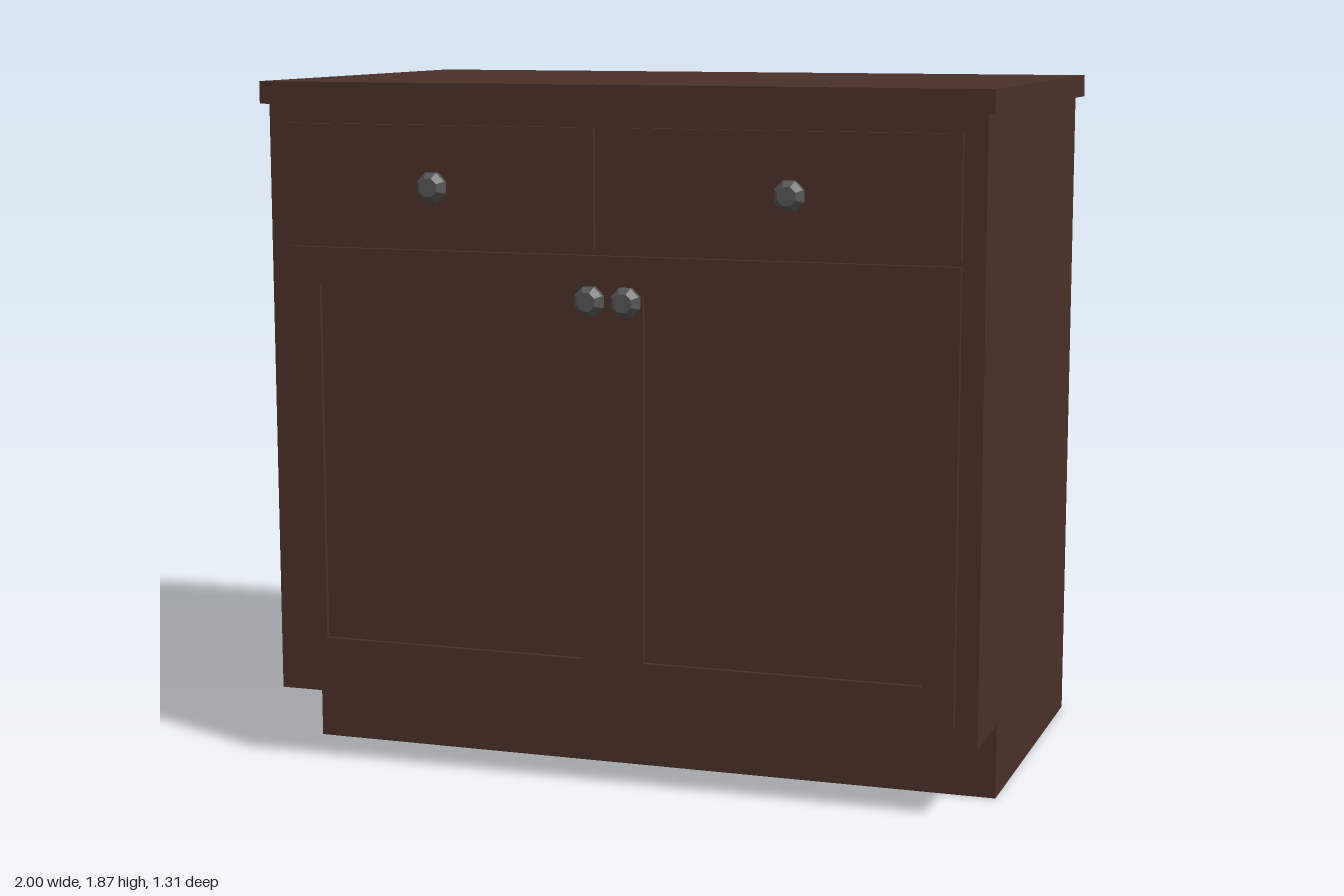
import * as THREE from 'three';

const wood = new THREE.MeshStandardMaterial({ color: 0x4b3028 });
const metal = new THREE.MeshStandardMaterial({ color: 0x555555, flatShading: true });

const FACE = 0.578; // front plane of the carcass
const FRONT = 0.593; // front plane of doors and drawers

function add(group, name, geometry, material = wood) {
  const mesh = new THREE.Mesh(geometry, material);
  mesh.name = name;
  group.add(mesh);
  return mesh;
}

// Box from its minimum and maximum corners
function box(x0, x1, y0, y1, z0, z1) {
  return new THREE.BoxGeometry(x1 - x0, y1 - y0, z1 - z0)
    .translate((x0 + x1) / 2, (y0 + y1) / 2, (z0 + z1) / 2);
}

function rect(PathType, x0, x1, y0, y1) {
  return new PathType([[x0, y0], [x1, y0], [x1, y1], [x0, y1]].map(([x, y]) => new THREE.Vector2(x, y)));
}

export function createModel() {
  const cabinet = new THREE.Group();
  cabinet.name = 'cabinet';

  // Carcass: side profile with a toe-kick notch, extruded across the width
  const profile = [[0.625, 0], [0.625, 1.81], [-FACE, 1.81], [-FACE, 0.2], [-0.34, 0.2], [-0.34, 0]];
  const side = new THREE.Shape(profile.map(([x, y]) => new THREE.Vector2(x, y)));
  add(cabinet, 'carcass', new THREE.ExtrudeGeometry(side, { depth: 1.96, bevelEnabled: false })
    .translate(0, 0, -0.98).rotateY(Math.PI / 2));

  add(cabinet, 'countertop', box(-1, 1, 1.81, 1.87, -0.655, 0.595));

  // Door pair: one flush frame with two recessed panel openings
  const frame = rect(THREE.Shape, -0.92, 0.92, 0.25, 1.43);
  frame.holes.push(
    rect(THREE.Path, 0.085, 0.835, 0.355, 1.33),
    rect(THREE.Path, -0.835, -0.085, 0.355, 1.33)
  );
  add(cabinet, 'doorFrames', new THREE.ExtrudeGeometry(frame, { depth: FRONT - FACE, bevelEnabled: false })
    .translate(0, 0, FACE));

  // Faceted knob: stem, flared head and flat front
  const knobProfile = [[0.017, -0.003], [0.017, 0.014], [0.026, 0.014], [0.041, 0.029], [0.041, 0.044], [0.026, 0.064], [0, 0.064]];
  const knob = new THREE.LatheGeometry(knobProfile.map(([r, h]) => new THREE.Vector2(r, h)), 8, Math.PI / 8)
    .rotateX(Math.PI / 2);

  for (const s of [1, -1]) {
    const label = s > 0 ? 'left' : 'right';
    add(cabinet, label + 'Drawer', box(-0.435, 0.435, 1.445, 1.76, FACE - 0.005, FRONT)).position.x = s * 0.485;
    add(cabinet, label + 'DoorPanel', box(-0.375, 0.375, 0.355, 1.33, FACE - 0.005, FACE + 0.003)).position.x = s * 0.46;
    add(cabinet, label + 'DrawerKnob', knob, metal).position.set(s * 0.487, 1.6, FRONT);
    add(cabinet, label + 'DoorKnob', knob, metal).position.set(s * 0.05, 1.315, FRONT - 0.003);
  }
  return cabinet;
}
